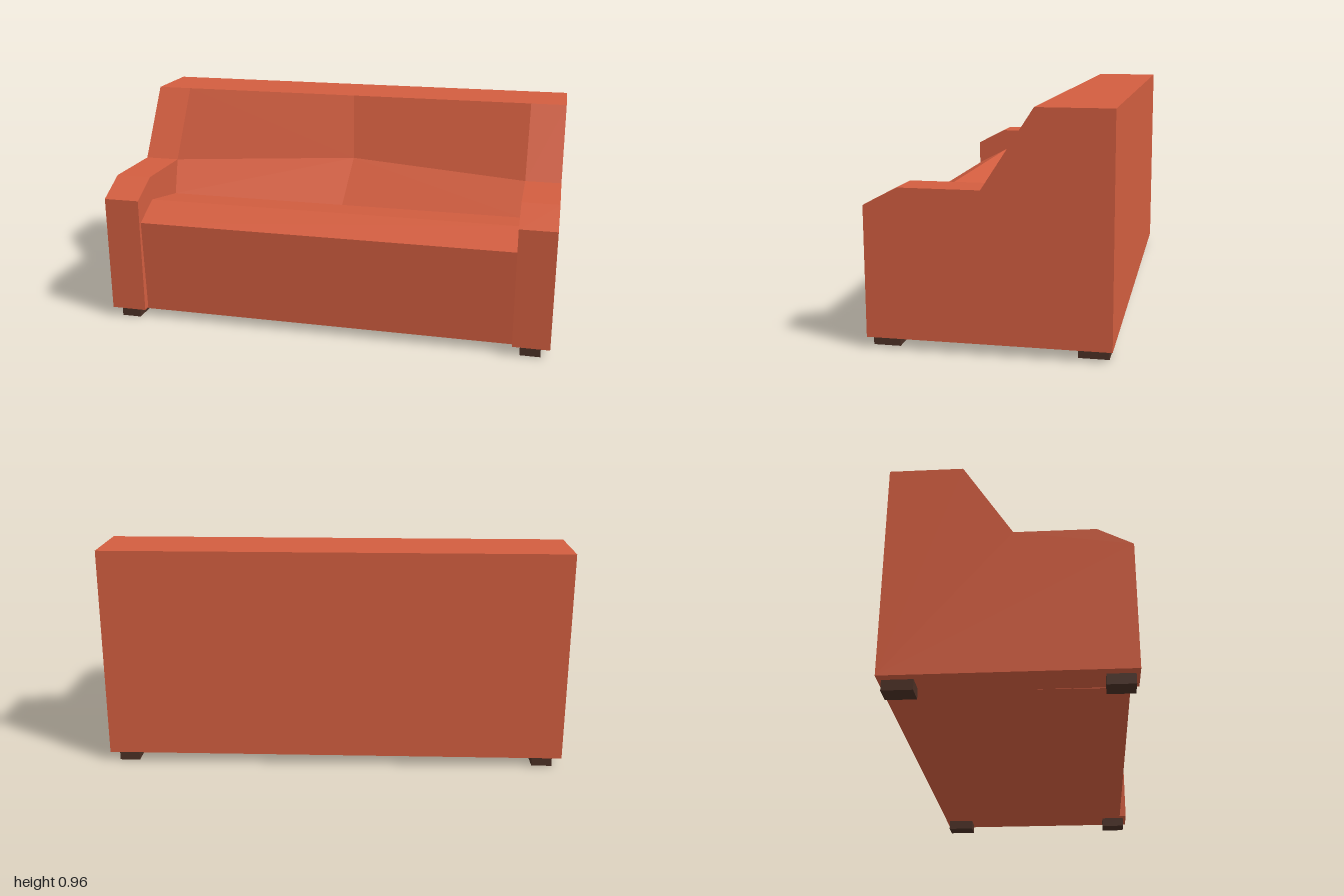
import * as THREE from 'three';

const fabric = new THREE.MeshStandardMaterial({ color: 0xd35e40 });
fabric.name = 'terracotta fabric';
const wood = new THREE.MeshStandardMaterial({ color: 0x4b3025 });
wood.name = 'dark wood';

const INNER = 0.84; // half width between the arms
const BASE = 0.043; // underside height

// Extrudes a [z, y] side profile along x, from x0 to x1
function sideExtrude(profile, x0, x1) {
  const shape = new THREE.Shape(profile.map(([z, y]) => new THREE.Vector2(-z, y)));
  const geo = new THREE.ExtrudeGeometry(shape, { depth: x1 - x0, bevelEnabled: false });
  return geo.rotateY(Math.PI / 2).translate(x0, 0, 0);
}

// Lofts [z, y] loops placed at the given x positions, one flat shade per quad
function loftSections(sections) {
  const positions = [], normals = [];
  for (let s = 0; s < sections.length - 1; s++) {
    const [p, q] = [sections[s], sections[s + 1]];
    const at = (sec, i) => {
      const [z, y] = sec.loop[i % sec.loop.length];
      return new THREE.Vector3(sec.x, y, z);
    };
    for (let i = 0; i < p.loop.length; i++) {
      const [a, b, c, d] = [at(p, i), at(p, i + 1), at(q, i + 1), at(q, i)];
      const n = c.clone().sub(a).cross(d.clone().sub(b)).normalize();
      // Split each quad so the folds run to the middle of the hollow
      const tris = (i === 1) === (s === 0) ? [a, b, c, a, c, d] : [a, b, d, b, c, d];
      for (const v of tris) {
        positions.push(v.x, v.y, v.z);
        normals.push(n.x, n.y, n.z);
      }
    }
  }
  const geo = new THREE.BufferGeometry();
  geo.setAttribute('position', new THREE.Float32BufferAttribute(positions, 3));
  geo.setAttribute('normal', new THREE.Float32BufferAttribute(normals, 3));
  return geo;
}

export function createModel() {
  const sofa = new THREE.Group();
  sofa.name = 'sofa';
  const add = (name, geo, material) => {
    const mesh = new THREE.Mesh(geo, material);
    mesh.name = name;
    sofa.add(mesh);
    return mesh;
  };

  // Arms, each with the end of the back rising behind it
  const armProfile = [
    [0.485, BASE], [0.485, 0.572], [0.345, 0.645], [0.02, 0.645],
    [-0.185, 0.96], [-0.485, 0.96], [-0.485, BASE],
  ];
  add('leftArm', sideExtrude(armProfile, INNER, 1), fabric);
  add('rightArm', sideExtrude(armProfile, -1, -INNER), fabric);

  // Seat, dipping toward the back and sloped along its front edge
  const seatProfile = [
    [0.452, 0.039], [0.47, 0.465], [0.335, 0.535], [0.065, 0.485],
    [0.065, BASE], [0.34, 0.04],
  ];
  add('seat', sideExtrude(seatProfile, -INNER, INNER), fabric);

  // Backrest, hollowed toward its middle
  const backLoop = (midZ, midY) => [
    [-0.485, 0.96], [-0.185, 0.96], [midZ, midY], [0.065, 0.485],
    [0.065, BASE], [-0.485, BASE],
  ];
  add('backrest', loftSections([
    { x: -INNER, loop: backLoop(0.02, 0.645) },
    { x: 0, loop: backLoop(-0.185, 0.65) },
    { x: INNER, loop: backLoop(0.02, 0.645) },
  ]), fabric);

  // Feet
  for (const side of [1, -1]) {
    for (const [end, z, depth] of [['front', 0.415, 0.11], ['back', -0.409, 0.122]]) {
      const foot = add(end + (side > 0 ? 'Left' : 'Right') + 'Foot',
        new THREE.BoxGeometry(0.088, BASE, depth), wood);
      foot.position.set(side * 0.917, BASE / 2, z);
    }
  }
  return sofa;
}
